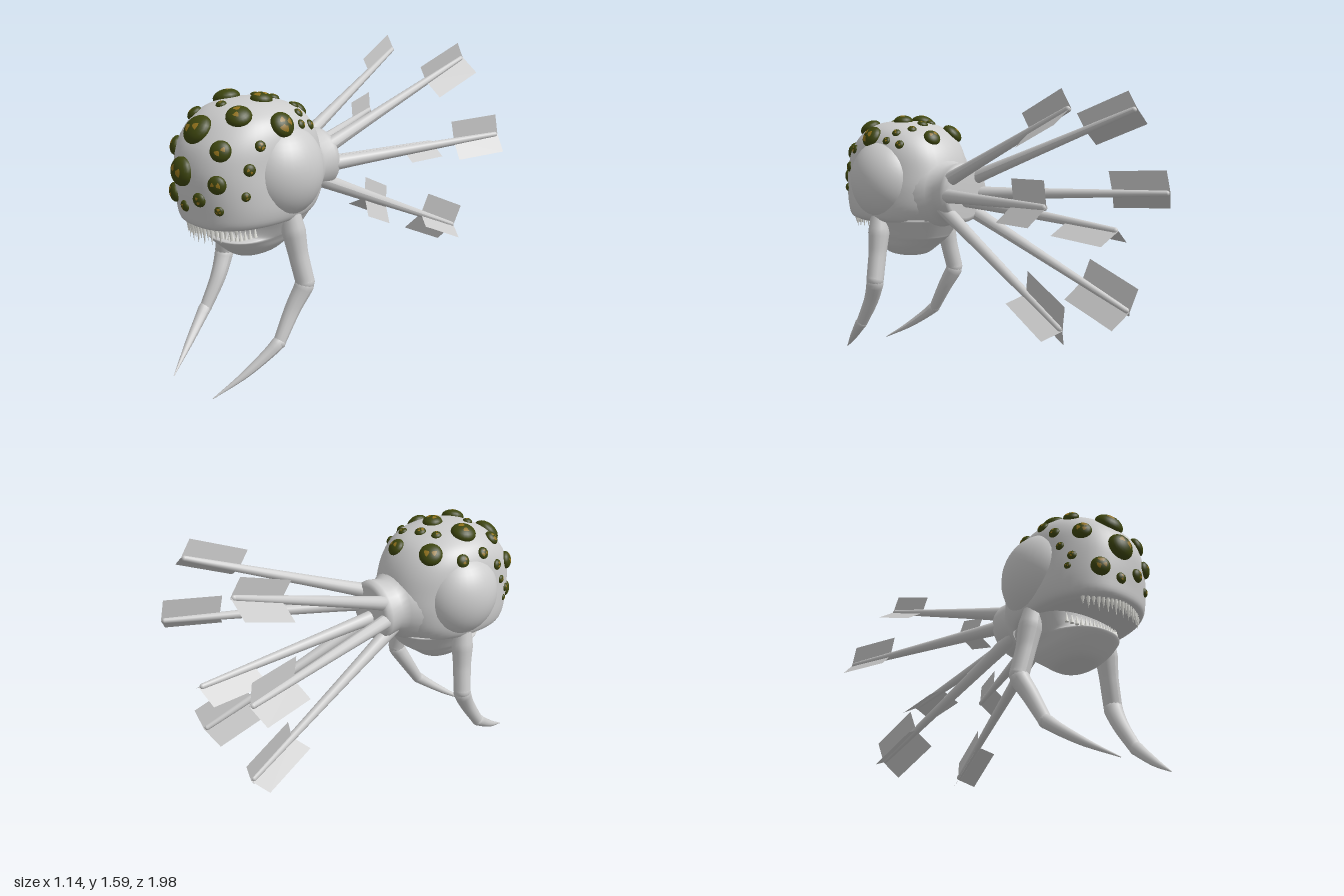
import * as THREE from 'three';

const mat = (name, color, side = THREE.FrontSide) => {
  const m = new THREE.MeshStandardMaterial({ color, side });
  m.name = name;
  return m;
};

// Stacked horizontal rings, each row is [y, back z, front z, half width]
function loft(rows, zc, steps, power = 0.88, n = 48) {
  const a = new THREE.CatmullRomCurve3(rows.map(r => new THREE.Vector3(r[1], r[0], r[2])), false, 'catmullrom', 0.5);
  const b = new THREE.CatmullRomCurve3(rows.map(r => new THREE.Vector3(r[3], 0, 0)), false, 'catmullrom', 0.5);
  const pos = [], idx = [];
  const bend = v => Math.sign(v) * Math.abs(v) ** power;
  for (let j = 0; j <= steps; j++) {
    const p = a.getPoint(j / steps), w = b.getPoint(j / steps).x;
    for (let i = 0; i < n; i++) {
      const t = i / n * Math.PI * 2, s = bend(Math.sin(t));
      pos.push(w * bend(Math.cos(t)), p.y, zc + s * (s > 0 ? p.z - zc : zc - p.x));
    }
  }
  for (let j = 0; j < steps; j++) for (let i = 0; i < n; i++) {
    const p = j * n + i, q = j * n + (i + 1) % n;
    idx.push(p, p + n, q, q, p + n, q + n);
  }
  // end caps
  const c = pos.length / 3, top = steps * n;
  pos.push(0, rows[0][0], zc, 0, rows[rows.length - 1][0], zc);
  for (let i = 0; i < n; i++) {
    const k = (i + 1) % n;
    idx.push(c, i, k, c + 1, top + k, top + i);
  }
  const g = new THREE.BufferGeometry();
  g.setAttribute('position', new THREE.Float32BufferAttribute(pos, 3));
  g.setIndex(idx);
  g.computeVertexNormals();
  return g;
}

// Tube whose radius changes along its path, points are [x, y, z, radius]
function limb(points, steps = 18, sides = 14) {
  const curve = new THREE.CatmullRomCurve3(points.map(p => new THREE.Vector3(p[0], p[1], p[2])));
  const g = new THREE.TubeGeometry(curve, steps, 1, sides);
  const pos = g.attributes.position, v = new THREE.Vector3();
  for (let i = 0; i <= steps; i++) {
    const c = curve.getPointAt(i / steps);
    const f = curve.getUtoTmapping(i / steps) * (points.length - 1);
    const k = Math.min(Math.floor(f), points.length - 2);
    const r = THREE.MathUtils.lerp(points[k][3], points[k + 1][3], f - k);
    for (let j = 0; j <= sides; j++) {
      const n = i * (sides + 1) + j;
      v.fromBufferAttribute(pos, n).sub(c).multiplyScalar(r).add(c);
      pos.setXYZ(n, v.x, v.y, v.z);
    }
  }
  g.computeVertexNormals();
  return g;
}

export function createModel() {
  const root = new THREE.Group();
  const skin = mat('pale grey skin', 0xcccccc);
  const vaneSkin = mat('pale grey vane', 0xcacaca, THREE.DoubleSide);
  const tooth = mat('white tooth', 0xf0f0ea);
  const green = mat('dark green eye', 0x3d450e);
  const gold = mat('gold iris', 0x92721c);
  const add = (name, geo, material, parent = root) => {
    const m = new THREE.Mesh(geo, material);
    m.name = name;
    parent.add(m);
    return m;
  };

  // Skull, jaw and neck
  const skull = add('skull', loft([
    [0.855, 0.27, 0.90, 0.25], [0.88, 0.23, 0.93, 0.295], [0.95, 0.18, 0.94, 0.315], [1.05, 0.16, 0.95, 0.315],
    [1.15, 0.17, 0.95, 0.305], [1.25, 0.20, 0.92, 0.295], [1.33, 0.25, 0.86, 0.27], [1.39, 0.32, 0.79, 0.22],
    [1.43, 0.43, 0.70, 0.13], [1.442, 0.53, 0.59, 0.03]], 0.56, 40), skin);
  add('jaw', loft([
    [0.635, 0.51, 0.62, 0.03], [0.65, 0.43, 0.68, 0.10], [0.70, 0.36, 0.74, 0.16], [0.745, 0.30, 0.785, 0.19],
    [0.76, 0.28, 0.78, 0.2], [0.775, 0.27, 0.72, 0.21], [0.82, 0.24, 0.70, 0.235], [0.88, 0.2, 0.70, 0.27]], 0.55, 32), skin);
  const profile = [[0, 0.05], [0.14, 0.05], [0.165, 0.06], [0.17, 0.09], [0.158, 0.16], [0.185, 0.2], [0.24, 0.28], [0.26, 0.4]];
  const neck = add('neck', new THREE.LatheGeometry(profile.map(p => new THREE.Vector2(...p)), 32).rotateX(Math.PI / 2), skin);
  neck.position.y = 1.04;

  // Teeth along the two lips
  const teeth = new THREE.Group();
  teeth.name = 'teeth';
  root.add(teeth);
  for (let i = -9; i <= 9; i++) {
    const x = i * 0.021, k = (x / 0.2) ** 2;
    const h = (i % 2 ? 0.075 : 0.1) * (1 - 0.4 * k);
    const up = add('upperTooth', new THREE.ConeGeometry(0.013, h, 6).rotateX(Math.PI), tooth, teeth);
    up.position.set(x, 0.87 - h / 2, 0.90 - 0.09 * k);
    const low = add('lowerTooth', new THREE.ConeGeometry(0.011, 0.055, 6), tooth, teeth);
    low.position.set(x * 0.92, 0.775 + 0.045 * k, 0.765 - 0.09 * k);
  }

  // Eyes set on the skull along straight rays
  const ray = new THREE.Raycaster(), Y = new THREE.Vector3(0, 1, 0);
  skull.updateMatrixWorld();
  let count = 0;
  function eye(from, dir, r) {
    ray.set(from, dir);
    const hit = ray.intersectObject(skull)[0];
    if (!hit) return;
    const g = new THREE.Group();
    g.name = 'eye';
    g.position.copy(hit.point);
    g.quaternion.setFromUnitVectors(Y, hit.face.normal);
    g.scale.set(1, 0.62, 1);
    root.add(g);
    add('eyeball', new THREE.SphereGeometry(r, 20, 14), green, g);
    const spin = count++ * 2.4;
    const patches = [[0, 1.3, 0.12, 0.42], [2.6, 1.0, 0.15, 0.4]];
    if (count % 3 === 0) patches.push([4.2, 1.2, 0.3, 0.5]);
    for (const [a, w, t, l] of patches)
      add('iris', new THREE.SphereGeometry(r * 1.015, 6, 4, spin + a, w, t, l), gold, g);
  }
  const V = (x, y, z) => new THREE.Vector3(x, y, z);
  // seen from the front: x, y, radius
  for (const [x, y, r] of [
    [-0.02, 1.33, 0.078], [-0.04, 1.14, 0.072], [-0.205, 1.22, 0.05], [0.16, 1.26, 0.052], [0.167, 1.105, 0.046],
    [-0.15, 1.005, 0.05], [0.073, 1.02, 0.036], [-0.04, 0.965, 0.029], [0.167, 0.975, 0.024]])
    eye(V(x, y, 3), V(0, 0, -1), r);
  // seen from the top: x, z, radius
  for (const [x, z, r] of [
    [-0.14, 0.575, 0.07], [0.137, 0.735, 0.064], [-0.18, 0.75, 0.042], [-0.16, 0.335, 0.064], [0.06, 0.27, 0.05],
    [0.016, 0.4, 0.032], [0.127, 0.365, 0.026], [0.206, 0.41, 0.025], [0.06, 0.52, 0.056], [-0.08, 0.435, 0.028],
    [-0.026, 0.705, 0.027]])
    eye(V(x, 3, z), V(0, -1, 0), r);
  // seen from the sides: side, y, z, radius
  for (const [s, y, z, r] of [
    [1, 1.35, 0.57, 0.064], [1, 1.17, 0.785, 0.03], [1, 1.045, 0.81, 0.023], [1, 1.275, 0.72, 0.027],
    [1, 1.31, 0.355, 0.026], [1, 1.33, 0.44, 0.024], [-1, 1.075, 0.82, 0.024], [-1, 1.15, 0.76, 0.023],
    [-1, 1.02, 0.8, 0.018], [-1, 1.34, 0.62, 0.033], [-1, 1.25, 0.72, 0.03], [-1, 1.33, 0.475, 0.037]])
    eye(V(3 * s, y, z), V(-s, 0, 0), r);

  // Spine with flat vanes near its tip, each vane is [x, y] across the shaft
  function spine(start, end, vanes) {
    const g = new THREE.Group();
    g.name = 'spine';
    root.add(g);
    const a = V(...start), b = V(...end), axis = b.clone().sub(a).normalize();
    const inner = a.clone().addScaledVector(axis, -0.08);
    add('shaft', limb([[...inner.toArray(), 0.041], [...a.toArray(), 0.04], [...b.toArray(), 0.015]], 12), skin, g);
    add('shaftTip', new THREE.SphereGeometry(0.015, 10, 8), skin, g).position.copy(b);
    const tail = b.clone().addScaledVector(axis, 0.02), head = tail.clone().addScaledVector(axis, -0.31);
    for (const [x, y] of vanes) {
      const out = V(x, y, 0);
      out.addScaledVector(axis, -out.dot(axis) - 0.02);
      const geo = new THREE.BufferGeometry().setFromPoints([head, tail, tail.clone().add(out), head.clone().add(out)]);
      geo.setIndex([0, 1, 2, 0, 2, 3]);
      geo.computeVertexNormals();
      add('vane', geo, vaneSkin, g);
    }
  }
  spine([0, 1.0, 0.06], [0, 0.925, -0.97], [[0.105, -0.07], [-0.105, -0.07]]);

  for (const s of [1, -1]) {
    spine([0.1 * s, 1.13, 0.06], [0.26 * s, 1.5, -0.88], [[0.01 * s, 0.11], [0.11 * s, -0.075]]);
    spine([0.13 * s, 1.03, 0.06], [0.49 * s, 1.07, -0.94], [[0, 0.12], [0.09 * s, -0.085]]);
    spine([0.1 * s, 0.92, 0.08], [0.27 * s, 0.47, -0.86], [[0.02 * s, 0.14], [-0.068 * s, -0.12], [0.095 * s, -0.075]]);

    // Round cheek
    const cheek = add('cheek', new THREE.SphereGeometry(1, 32, 24), skin);
    cheek.scale.set(0.2, 0.24, 0.23);
    cheek.position.set(0.19 * s, 1.1, 0.52);

    // Jointed leg with a claw
    const leg = new THREE.Group();
    leg.name = s > 0 ? 'leftLeg' : 'rightLeg';
    root.add(leg);
    const part = (name, pts) => add(name, limb(pts.map(([x, y, z, r]) => [x * s, y, z, r])), skin, leg);
    part('upperLeg', [[0.25, 0.9, 0.52, 0.05], [0.265, 0.8, 0.51, 0.062], [0.285, 0.68, 0.5, 0.052], [0.318, 0.53, 0.485, 0.05]]);
    part('lowerLeg', [[0.32, 0.55, 0.48, 0.03], [0.318, 0.52, 0.485, 0.052], [0.297, 0.4, 0.55, 0.043], [0.295, 0.24, 0.65, 0.033]]);
    part('claw', [[0.297, 0.27, 0.63, 0.02], [0.295, 0.24, 0.655, 0.036], [0.235, 0.11, 0.82, 0.021], [0.16, 0.003, 0.985, 0.002]]);
    add('knee', new THREE.SphereGeometry(0.05, 16, 12), skin, leg).position.set(0.318 * s, 0.53, 0.485);
    add('ankle', new THREE.SphereGeometry(0.034, 16, 12), skin, leg).position.set(0.296 * s, 0.24, 0.65);
  }
  return root;
}
